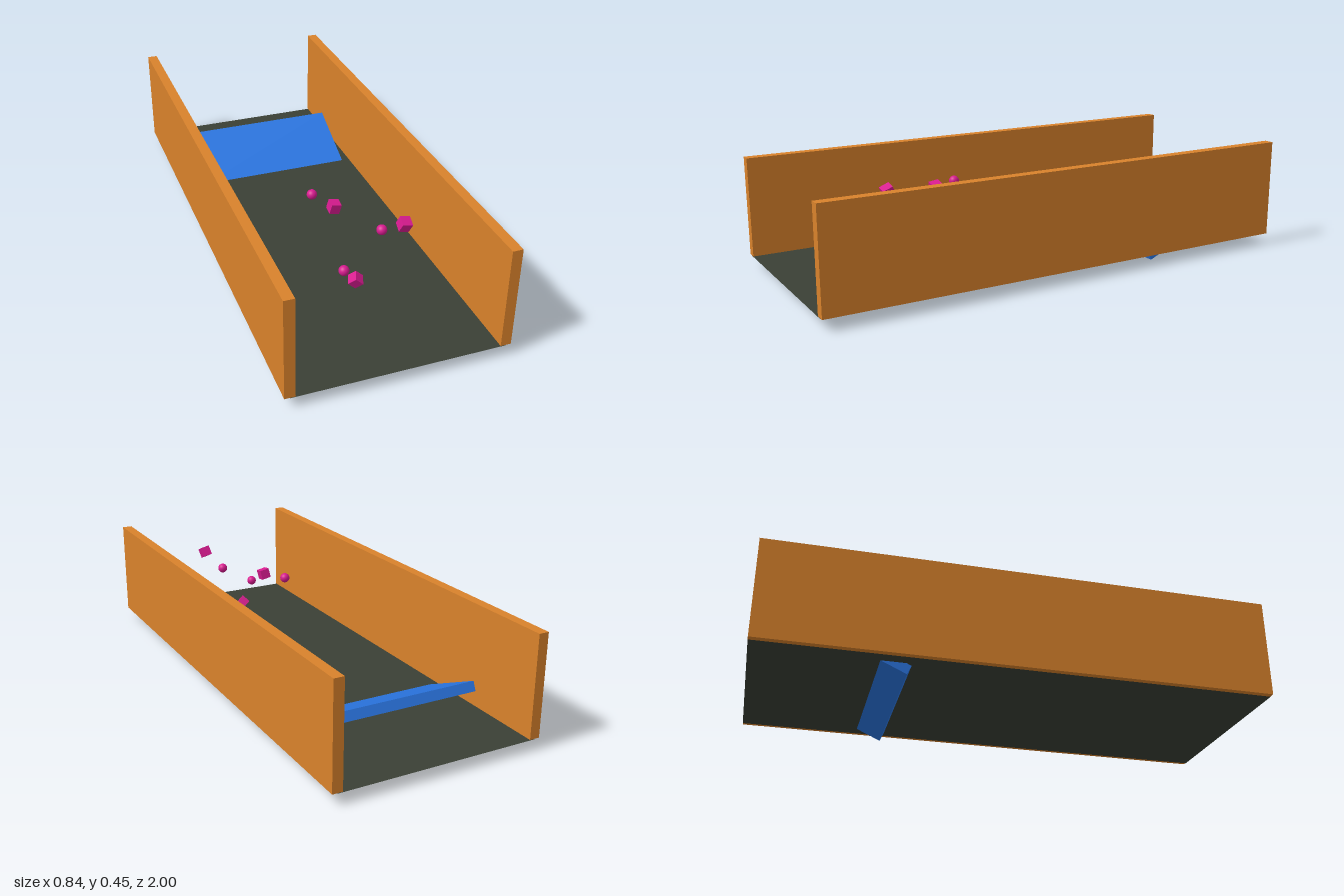
import * as THREE from 'three';

const mat = (color, extra = {}) => new THREE.MeshStandardMaterial({ color, ...extra });

export function createModel() {
  const model = new THREE.Group();
  const add = (name, geometry, material, [x, y, z], [rx, rz] = [0, 0]) => {
    const mesh = new THREE.Mesh(geometry, material);
    mesh.name = name;
    mesh.position.set(x, y, z);
    mesh.rotation.set(rx, 0, rz, 'ZYX');
    model.add(mesh);
    return mesh;
  };

  // Thin ground sheet
  const floor = new THREE.PlaneGeometry(0.8, 2).rotateX(-Math.PI / 2);
  add('floor', floor, mat(0x3a4035, { side: THREE.DoubleSide }), [0, 0.044, 0]);

  // Side walls
  const wall = new THREE.BoxGeometry(0.04, 0.4, 2);
  const wallMat = mat(0xd9822b);
  add('leftWall', wall, wallMat, [0.4, 0.246, 0]);
  add('rightWall', wall, wallMat, [-0.4, 0.246, 0]);

  // Tilted ramp slab, rising towards the back and dipping through the floor
  add('ramp', new THREE.BoxGeometry(0.696, 0.039, 0.318), mat(0x2a75e0),
    [0, 0.0825, -0.569], [0.42, 0]);

  // Loose balls and cubes in mid-air
  const pieceMat = mat(0xd81b90);
  const ball = new THREE.SphereGeometry(0.02, 24, 16);
  [[-0.057, 0.335, 0.262], [0.106, 0.321, 0.56], [-0.064, 0.22, 0.62]]
    .forEach((p, i) => add(`ball${i + 1}`, ball, pieceMat, p));

  const cube = new THREE.BoxGeometry(0.04, 0.04, 0.04);
  [
    [[0.156, 0.384, 0.64], [0.42, -0.22]],
    [[-0.007, 0.332, 0.368], [0.15, -0.2]],
    [[0, 0.137, 0.58], [0.5, -0.75]],
  ].forEach(([p, r], i) => add(`cube${i + 1}`, cube, pieceMat, p, r));

  return model;
}
